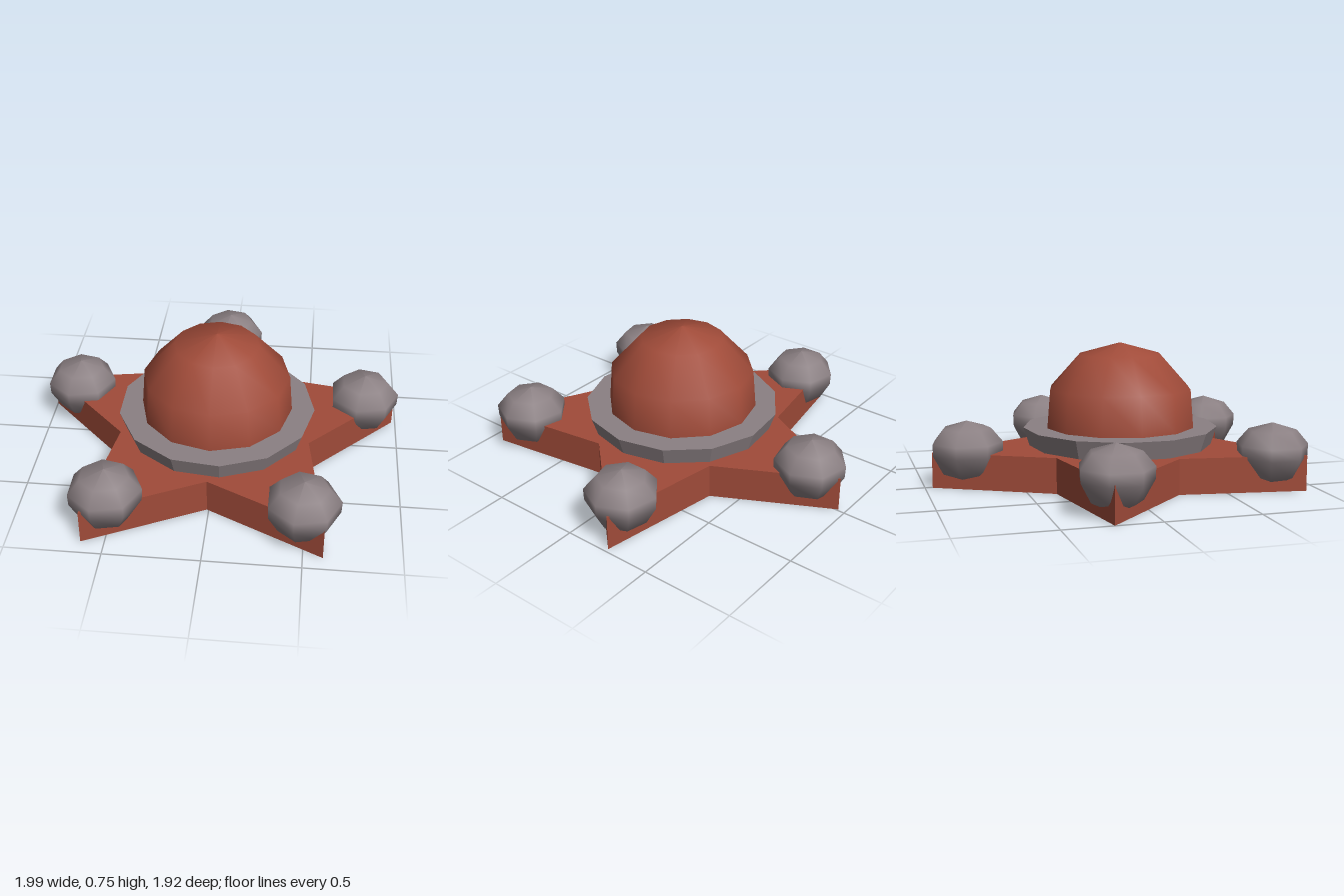
import * as THREE from 'three';

const CX = -0.01, CZ = 0.08; // centre of the star

export function createModel() {
  const root = new THREE.Group();
  root.name = 'starBase';
  const red = new THREE.MeshStandardMaterial({ color: 0xa04b39 });
  red.name = 'brick red';
  const grey = new THREE.MeshStandardMaterial({ color: 0x8b8083 });
  grey.name = 'warm grey';

  const add = (name, geometry, material, x, y, z) => {
    const mesh = new THREE.Mesh(geometry, material);
    mesh.name = name;
    mesh.position.set(x, y, z);
    root.add(mesh);
    return mesh;
  };
  // Turned solid, profile from bottom to top, first corner on +x
  const turned = (profile, sides) => new THREE.LatheGeometry(
    profile.map(([r, y]) => new THREE.Vector2(r, y)), sides, Math.PI / 2);

  // Five-pointed plate
  const star = new THREE.Shape();
  for (let i = 0; i < 10; i++) {
    const a = Math.PI / 2 + i * Math.PI / 5;
    const r = i % 2 ? 0.54 : 1.04;
    star[i ? 'lineTo' : 'moveTo'](r * Math.cos(a), r * Math.sin(a));
  }
  star.closePath();
  const plate = new THREE.ExtrudeGeometry(star, { depth: 0.19, bevelEnabled: false });
  plate.rotateX(-Math.PI / 2);
  add('starPlate', plate, red, CX, 0, CZ);

  // Thirteen-sided collar, narrower at its foot
  const collar = new THREE.CylinderGeometry(0.536, 0.503, 0.1, 13, 1, false, Math.PI / 2).toNonIndexed();
  collar.computeVertexNormals();
  add('collar', collar, grey, CX, 0.24, CZ);

  // Dome
  add('dome', turned([[0.415, 0.2], [0.412, 0.29], [0.395, 0.5], [0.226, 0.687], [0, 0.75]], 12),
    red, CX, 0, CZ);

  // One faceted ball on each point
  const ball = turned([[0, 0.045], [0.075, 0.045], [0.135, 0.075], [0.19, 0.175],
    [0.193, 0.24], [0.13, 0.315], [0, 0.355]], 7);
  for (let i = 0; i < 5; i++) {
    const a = Math.PI / 2 + i * Math.PI * 2 / 5;
    add('ball' + (i + 1), ball, grey, CX + 0.853 * Math.cos(a), 0, CZ - 0.853 * Math.sin(a));
  }
  return root;
}
